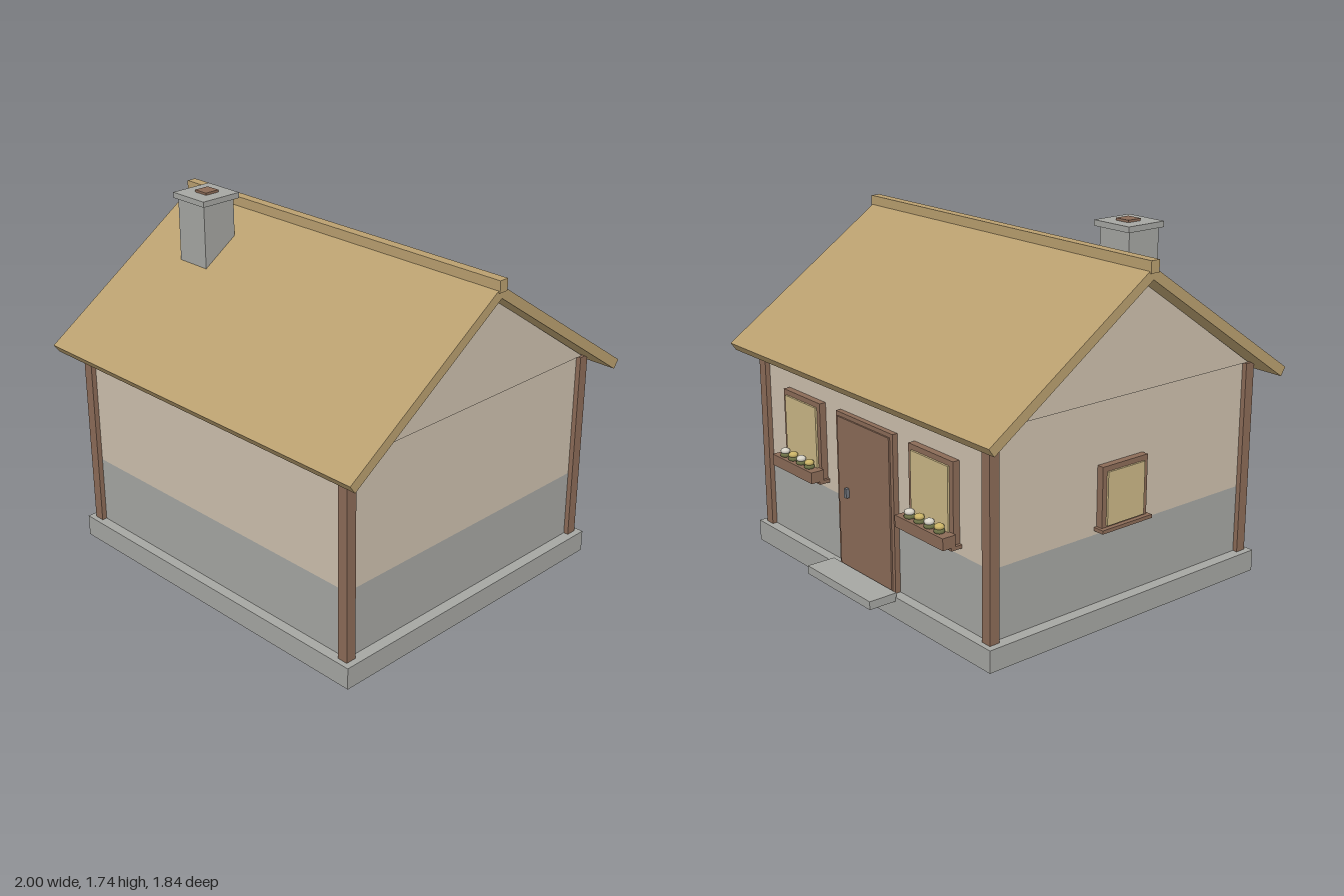
import * as THREE from 'three';

const mat = (name, color) => {
  const m = new THREE.MeshStandardMaterial({ color });
  m.name = name;
  return m;
};

export function createModel() {
  const stone = mat('stone', 0xa5a6a2);
  const plaster = mat('plaster', 0xcdc0ad);
  const timber = mat('timber', 0x8b6b57);
  const thatch = mat('thatch', 0xb99f6f);
  const glass = mat('warmGlass', 0xcbb786);
  const steel = mat('steel', 0x70747a);
  const leaf = mat('leaf', 0x6b6f45);
  const cream = mat('creamPetal', 0xd6d2c6);
  const gold = mat('goldPetal', 0xc9b266);

  const model = new THREE.Group();
  model.name = 'cottage';
  const house = new THREE.Group();
  house.name = 'house';
  house.position.z = 0.035;
  model.add(house);

  const add = (parent, name, geometry, material, x = 0, y = 0, z = 0) => {
    const mesh = new THREE.Mesh(geometry, material);
    mesh.name = name;
    mesh.position.set(x, y, z);
    parent.add(mesh);
    return mesh;
  };
  // box given by its x, y and z ranges
  const box = (parent, name, material, [x0, x1], [y0, y1], [z0, z1]) =>
    add(parent, name, new THREE.BoxGeometry(x1 - x0, y1 - y0, z1 - z0), material,
      (x0 + x1) / 2, (y0 + y1) / 2, (z0 + z1) / 2);
  // (z, y) outline extruded along x
  const prism = (name, material, points, length) => {
    const shape = new THREE.Shape(points.map(([a, b]) => new THREE.Vector2(a, b)));
    const g = new THREE.ExtrudeGeometry(shape, { depth: length, bevelEnabled: false });
    g.translate(0, 0, -length / 2).rotateY(Math.PI / 2);
    return add(house, name, g, material);
  };

  // foundation, doorstep and walls
  box(house, 'foundation', stone, [-0.915, 0.915], [0, 0.105], [-0.815, 0.815]);
  box(house, 'doorstep', stone, [-0.25, 0.25], [0.085, 0.125], [-0.955, -0.81]);
  box(house, 'lowerWall', stone, [-0.86, 0.86], [0.105, 0.435], [-0.765, 0.765]);
  box(house, 'upperWall', plaster, [-0.86, 0.86], [0.435, 1.045], [-0.765, 0.765]);
  prism('gable', plaster, [[-0.765, 1.045], [0.765, 1.045], [0, 1.572]], 1.74);

  // corner posts and eave beams
  for (const sz of [-1, 1]) {
    for (const sx of [-1, 1]) {
      add(house, 'cornerPost', new THREE.BoxGeometry(0.052, 0.94, 0.052), timber,
        sx * 0.858, 0.575, sz * 0.764);
    }
    add(house, 'eaveBeam', new THREE.BoxGeometry(1.67, 0.045, 0.045), timber, 0, 1.02, sz * 0.764);
  }

  // roof and ridge
  prism('roof', thatch, [
    [0, 1.625], [-0.883, 1.027], [-0.855, 0.988], [0, 1.57], [0.855, 0.988], [0.883, 1.027],
  ], 1.985);
  box(house, 'ridgeCap', thatch, [-1, 1], [1.6, 1.655], [-0.024, 0.024]);

  // chimney
  box(house, 'chimneyStack', stone, [-0.686, -0.502], [1.37, 1.705], [0.155, 0.335]);
  box(house, 'chimneyCap', stone, [-0.702, -0.484], [1.703, 1.73], [0.135, 0.351]);
  box(house, 'chimneyFlue', timber, [-0.632, -0.555], [1.73, 1.741], [0.2, 0.276]);

  // back door with handle
  box(house, 'doorFrame', timber, [-0.22, 0.22], [0.105, 0.86], [-0.792, -0.764]);
  box(house, 'doorLeaf', timber, [-0.2, 0.2], [0.105, 0.84], [-0.8, -0.79]);
  box(house, 'doorHandle', steel, [0.118, 0.136], [0.465, 0.51], [-0.817, -0.8]);

  // window facing +z of its own group, standing on y = 0 against the wall
  const makeWindow = (name, width, height) => {
    const g = new THREE.Group();
    g.name = name;
    const w = width / 2;
    box(g, 'windowFrame', timber, [-w, w], [0, height], [-0.01, 0.034]);
    box(g, 'windowPane', glass, [-w + 0.025, w - 0.025], [0.02, height - 0.025], [0.034, 0.0435]);
    box(g, 'windowSill', timber, [-w - 0.015, w + 0.015], [-0.005, 0.012], [-0.01, 0.056]);
    house.add(g);
    return g;
  };

  // back windows with flower boxes
  for (const sx of [-1, 1]) {
    const g = makeWindow('backWindow', 0.31, 0.385);
    g.position.set(sx * 0.5, 0.475, -0.765);
    g.rotation.y = Math.PI;
    box(g, 'flowerBox', timber, [-0.17, 0.17], [0.01, 0.065], [0.034, 0.102]);
    for (let i = 0; i < 4; i++) {
      const x = -0.105 + i * 0.07;
      const foliage = add(g, 'foliage', new THREE.SphereGeometry(0.026, 10, 6), leaf, x, 0.073, 0.07);
      foliage.scale.y = 0.55;
      const bloom = add(g, 'flower', new THREE.SphereGeometry(0.024, 10, 6), i % 2 ? gold : cream, x, 0.092, 0.07);
      bloom.scale.y = 0.6;
    }
  }

  // side window
  const side = makeWindow('sideWindow', 0.27, 0.295);
  side.position.set(-0.86, 0.46, -0.035);
  side.rotation.y = -Math.PI / 2;

  return model;
}
